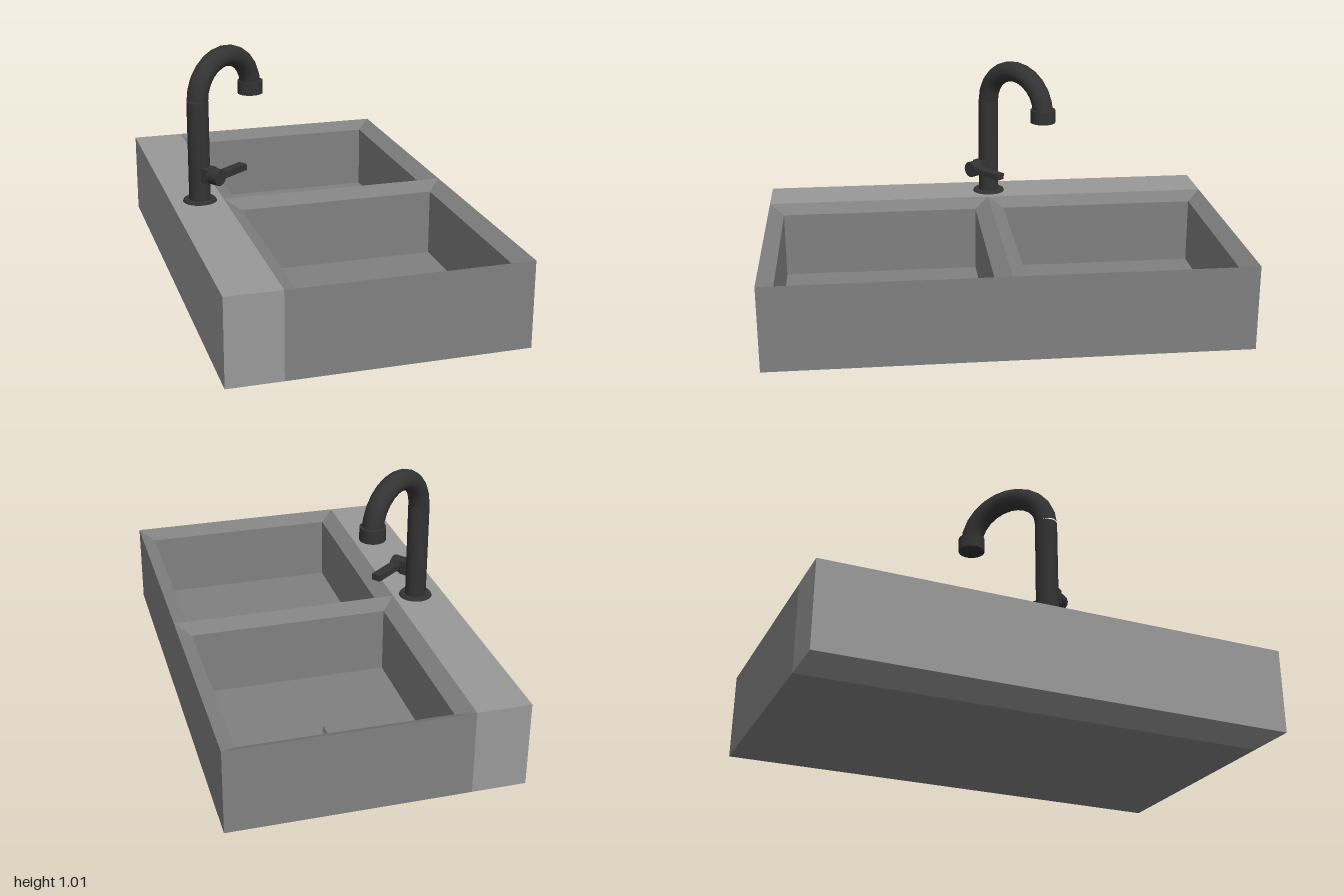
import * as THREE from 'three';

const H = 0.363;          // height of the sink
const X0 = -0.38;         // seam between ledge and basins
const X1 = 0.605;         // outer side of the basins

const basinMat = new THREE.MeshStandardMaterial({ color: 0x808080 });
const ledgeMat = new THREE.MeshStandardMaterial({ color: 0x999999 });
const tapMat = new THREE.MeshStandardMaterial({ color: 0x333333 });

function add(parent, name, geometry, material, x = 0, y = 0, z = 0) {
  const mesh = new THREE.Mesh(geometry, material);
  mesh.name = name;
  mesh.position.set(x, y, z);
  parent.add(mesh);
  return mesh;
}

// Flat-faced skin through rectangles [centreX, centreZ, halfX, halfZ, y]
function loftRects(rects) {
  const pos = [];
  const corners = ([x, z, a, b, y]) =>
    [[x - a, y, z + b], [x + a, y, z + b], [x + a, y, z - b], [x - a, y, z - b]];
  for (let r = 0; r < rects.length - 1; r++) {
    const lo = corners(rects[r]), hi = corners(rects[r + 1]);
    for (let i = 0; i < 4; i++) {
      const j = (i + 1) % 4;
      pos.push(...lo[i], ...lo[j], ...hi[j], ...lo[i], ...hi[j], ...hi[i]);
    }
  }
  const g = new THREE.BufferGeometry();
  g.setAttribute('position', new THREE.Float32BufferAttribute(pos, 3));
  g.computeVertexNormals();
  return g;
}

function createSink() {
  const sink = new THREE.Group();
  sink.name = 'sink';
  const cx = (X0 + X1) / 2, hx = (X1 - X0) / 2;

  // Back ledge that carries the tap
  add(sink, 'ledge', new THREE.BoxGeometry(X0 + 0.605, H, 2), ledgeMat, (X0 - 0.605) / 2, H / 2, 0);

  // Outer walls and underside
  add(sink, 'outerShell', loftRects([
    [cx, 0, 0, 0, 0], [cx, 0, hx, 1, 0], [cx, 0, hx, 1, H],
  ]), basinMat);

  // Two basins: sloped rim, upright walls, floor and square drain
  for (const side of [-1, 1]) {
    const z = side * 0.5;
    add(sink, side > 0 ? 'frontBasin' : 'backBasin', loftRects([
      [cx, z, hx, 0.5, H],
      [cx, z, hx - 0.065, 0.435, H - 0.035],
      [cx, z, hx - 0.065, 0.435, 0.04],
      [cx, z, 0.045, 0.045, 0.04],
      [cx, z, 0.038, 0.038, 0.02],
      [cx, z, 0, 0, 0.02],
    ]), basinMat);
  }
  return sink;
}

// Tap built along its own x axis (spout) and z axis (handle)
function createTap() {
  const tap = new THREE.Group();
  tap.name = 'tap';
  const reach = 0.351, bend = 0.8, rise = 0.161;

  add(tap, 'flange', new THREE.CylinderGeometry(0.068, 0.073, 0.01, 24), tapMat, 0, H + 0.004, 0);
  add(tap, 'post', new THREE.CylinderGeometry(0.046, 0.046, bend - H, 20), tapMat, 0, (H + bend) / 2, 0);

  // Bent spout
  const points = [];
  for (let i = 0; i <= 10; i++) {
    const a = Math.PI * (1 - i / 10);
    points.push(new THREE.Vector3(reach / 2 * (1 + Math.cos(a)), bend + rise * Math.sin(a), 0));
  }
  add(tap, 'spout', new THREE.TubeGeometry(new THREE.CatmullRomCurve3(points), 12, 0.045, 20), tapMat);
  add(tap, 'nozzle', new THREE.CylinderGeometry(0.055, 0.055, 0.058, 24), tapMat, reach, 0.791, 0);

  // Handle: mount, hub and lever
  const hy = 0.488;
  add(tap, 'handleMount', new THREE.BoxGeometry(0.06, 0.062, 0.04), tapMat, 0, hy, 0.052);
  const hub = add(tap, 'handleHub', new THREE.CylinderGeometry(0.036, 0.036, 0.055, 12), tapMat, 0, hy, 0.091);
  hub.rotation.x = Math.PI / 2;
  add(tap, 'lever', new THREE.BoxGeometry(0.178, 0.028, 0.042), tapMat, 0.089, hy, 0.094);

  tap.position.set(-0.48, 0, -0.013);
  tap.rotation.y = THREE.MathUtils.degToRad(37.7);
  return tap;
}

export function createModel() {
  const model = new THREE.Group();
  model.name = 'doubleSinkWithTap';
  model.add(createSink(), createTap());
  return model;
}
